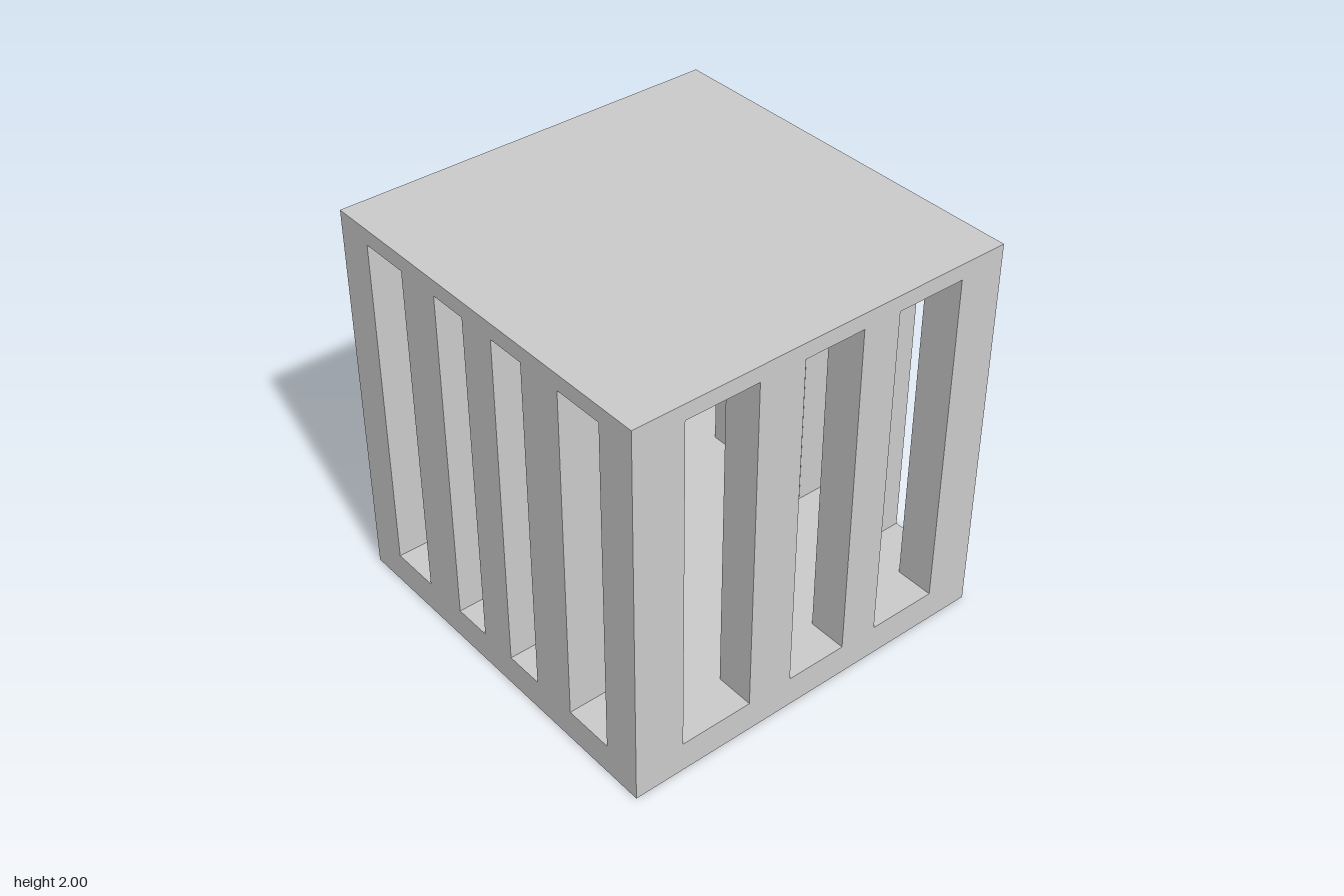
import * as THREE from 'three';

const BASE_TOP = 0.16, ROOF_BOTTOM = 1.92;

export function createModel() {
  const model = new THREE.Group();
  const material = new THREE.MeshStandardMaterial({ color: 0xcccccc, flatShading: true });

  // Box spanning the given [min, max] ranges
  const block = (name, [x0, x1], [y0, y1], [z0, z1]) => {
    const mesh = new THREE.Mesh(new THREE.BoxGeometry(x1 - x0, y1 - y0, z1 - z0), material);
    mesh.position.set((x0 + x1) / 2, (y0 + y1) / 2, (z0 + z1) / 2);
    mesh.name = name;
    model.add(mesh);
  };
  const post = (name, x, z) => block(name, x, [BASE_TOP, ROOF_BOTTOM], z);

  // Solid floor and roof slabs, with a hollow room between them
  block('floorSlab', [-1, 1], [0, BASE_TOP], [-1, 1]);
  block('roofSlab', [-1, 1], [ROOF_BOTTOM, 2], [-1, 1]);

  // Thickness of the right-hand and left-hand walls, and of the front and back walls
  const minusX = [-1, -0.74], plusX = [0.76, 1];
  const front = [0.8, 1], back = [-1, -0.8];

  // Corner posts
  for (const [side, x] of [['right', minusX], ['left', plusX]]) {
    post(side + 'FrontCorner', x, front);
    post(side + 'BackCorner', x, back);
  }

  // Two posts between the three openings of the front and back
  for (const x of [[-0.36, -0.12], [0.2, 0.4]]) {
    post('frontPost', x, front);
    post('backPost', x, back);
  }

  // Three posts between the four openings of each side
  for (const [name, x, inner] of [['rightPost', minusX, 0.3], ['leftPost', plusX, 0.325]]) {
    post(name, x, [inner, 0.54]);
    post(name, x, [-0.1, 0.1]);
    post(name, x, [-0.54, -inner]);
  }

  return model;
}
